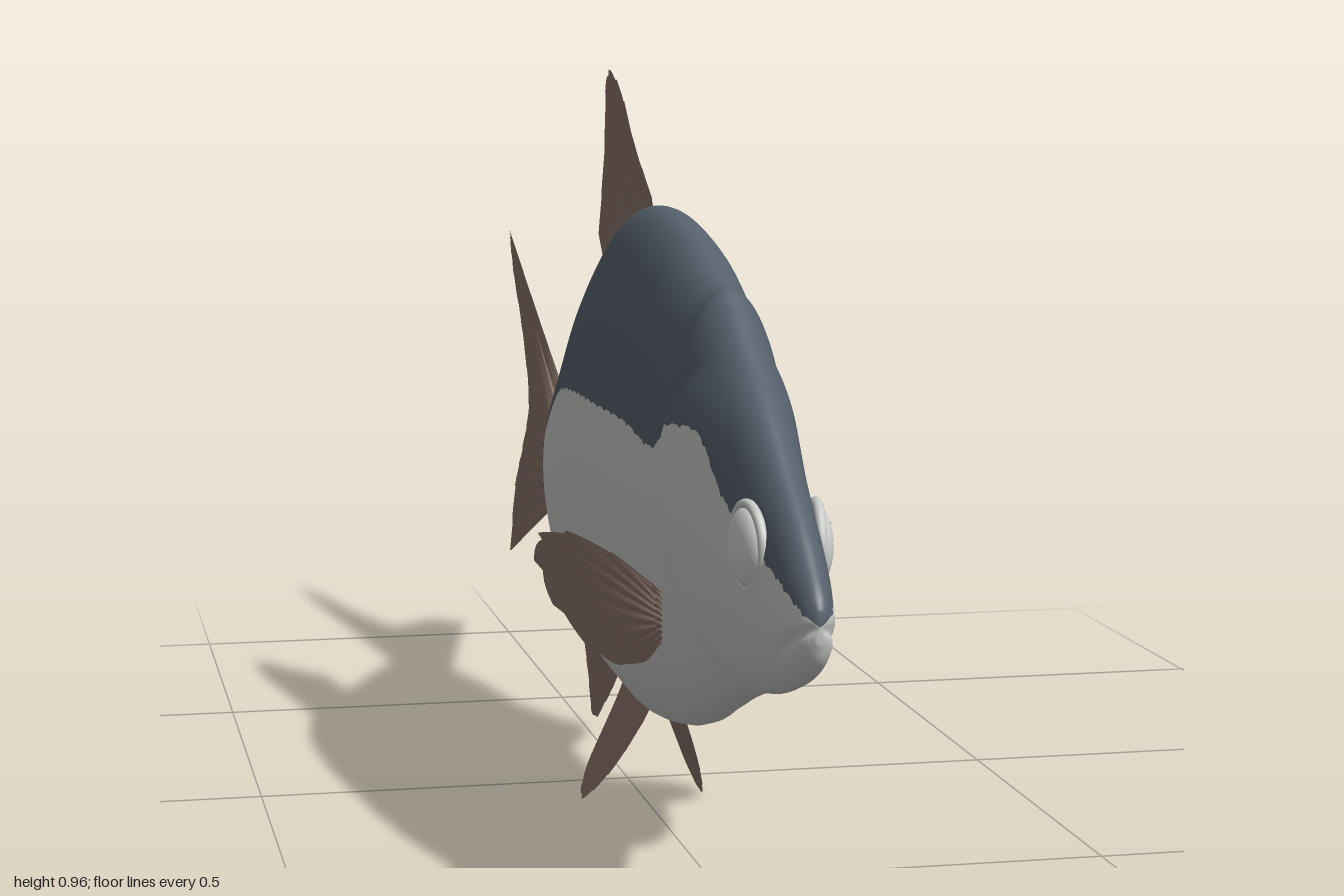
import * as THREE from 'three';

const mat = (name, color, side = THREE.FrontSide) => {
  const m = new THREE.MeshStandardMaterial({ color, side });
  m.name = name;
  return m;
};

// Body stations: z, top y, bottom y, half width, height of the colour line
const STATIONS = [
  [-0.505, 0.455, 0.315, 0.023, 0.396],
  [-0.45, 0.482, 0.265, 0.036, 0.415],
  [-0.39, 0.515, 0.23, 0.047, 0.43],
  [-0.23, 0.607, 0.172, 0.068, 0.488],
  [-0.07, 0.703, 0.15, 0.084, 0.53],
  [0.11, 0.782, 0.143, 0.094, 0.548],
  [0.25, 0.798, 0.145, 0.097, 0.552],
  [0.41, 0.775, 0.17, 0.09, 0.55],
  [0.52, 0.738, 0.2, 0.08, 0.535],
  [0.56, 0.727, 0.216, 0.076, 0.56],
  [0.585, 0.726, 0.226, 0.073, 0.57],
  [0.61, 0.71, 0.235, 0.07, 0.574],
  [0.68, 0.664, 0.262, 0.062, 0.572],
  [0.76, 0.615, 0.288, 0.052, 0.515],
  [0.84, 0.56, 0.306, 0.043, 0.48],
  [0.92, 0.505, 0.332, 0.033, 0.455],
  [0.965, 0.468, 0.352, 0.025, 0.436],
  [0.99, 0.445, 0.372, 0.017, 0.424],
  [1.0, 0.428, 0.395, 0.007, 0.416],
];

// Smooth lookup of one column of the stations
function station(z, col) {
  const S = STATIONS, last = S.length - 1;
  let i = 0;
  while (i < last - 1 && z > S[i + 1][0]) i++;
  const slope = (k) => {
    const a = S[Math.max(k - 1, 0)], b = S[Math.min(k + 1, last)];
    return (b[col] - a[col]) / (b[0] - a[0]);
  };
  const d = S[i + 1][0] - S[i][0], t = (z - S[i][0]) / d, t2 = t * t, t3 = t2 * t;
  return (2 * t3 - 3 * t2 + 1) * S[i][col] + (t3 - 2 * t2 + t) * d * slope(i)
    + (3 * t2 - 2 * t3) * S[i + 1][col] + (t3 - t2) * d * slope(i + 1);
}

// Raised gill cover, groove behind it, and the mouth line
function relief(z, y) {
  const { smoothstep } = THREE.MathUtils;
  const edge = 0.553 + 4 * (y - 0.5) ** 2;
  const fade = smoothstep(y, 0.27, 0.33) * (1 - smoothstep(y, 0.58, 0.66));
  const cover = 0.008 * smoothstep(z, edge - 0.006, edge + 0.008) * (1 - smoothstep(z, 0.6, 0.82));
  const groove = -0.003 * Math.exp(-(((z - edge + 0.012) / 0.01) ** 2));
  const lip = 0.41 - (1 - z) * 0.5;
  const mouth = -0.005 * smoothstep(z, 0.915, 0.94) * Math.exp(-(((y - lip) / 0.006) ** 2));
  return (cover + groove) * fade + mouth;
}

function bodyGeometry(rings = 190, half = 36) {
  const pos = [], upper = [], lower = [], n = half * 2;
  for (let i = 0; i <= rings; i++) {
    const z = -0.505 + 1.505 * (1 - (1 - i / rings) ** 1.25);
    const [top, bottom, w, line] = [1, 2, 3, 4].map((c) => station(z, c));
    const cy = (top + bottom) / 2, h = (top - bottom) / 2;
    const ragged = 0.003 * Math.sin(i * 2.1) * Math.sin(i * 0.7);
    const a0 = Math.asin(THREE.MathUtils.clamp((line + ragged - cy) / h, -0.95, 0.95));
    for (let j = 0; j < n; j++) {
      const a = j < half
        ? a0 + (Math.PI - 2 * a0) * (j / half)
        : Math.PI - a0 + (Math.PI + 2 * a0) * (j / half - 1);
      const y = cy + h * Math.sin(a), c = Math.cos(a);
      pos.push(c * w + Math.sign(c) * Math.min(1, Math.abs(c) * 3) * relief(z, y), y, z);
    }
  }
  for (let i = 0; i < rings; i++) {
    for (let j = 0; j < n; j++) {
      const a = i * n + j, b = i * n + (j + 1) % n;
      (j < half ? upper : lower).push(a, b, a + n, b, b + n, a + n);
    }
  }
  // End caps at the tail root and the snout
  const back = pos.length / 3, front = back + 1, o = rings * n;
  pos.push(0, 0.39, -0.507, 0, 0.412, 1);
  for (let j = 0; j < n; j++) {
    const k = (j + 1) % n;
    (j < half ? upper : lower).push(back, k, j, front, o + j, o + k);
  }
  const g = new THREE.BufferGeometry();
  g.setAttribute('position', new THREE.Float32BufferAttribute(pos, 3));
  g.setIndex([...upper, ...lower]);
  g.addGroup(0, upper.length, 0);
  g.addGroup(upper.length, lower.length, 1);
  g.computeVertexNormals();
  return g;
}

// Thin two-sided fin between a base line and a free edge, points given as [x, y, z].
// Rays are ridges that fade towards the ragged edge.
function finGeometry(base, edge, { rays = 9, ragged = 0.035, thick = 0.004 } = {}) {
  const v = (p) => new THREE.Vector3(...p);
  const [b0, b1] = base.map(v), rim = new THREE.CatmullRomCurve3(edge.map(v));
  const nu = rays * 6, nt = 8, pos = [], idx = [];
  for (const side of [1, -1]) {
    const start = pos.length / 3;
    for (let i = 0; i <= nu; i++) {
      const u = i / nu, root = b0.clone().lerp(b1, u);
      const notch = i === 0 || i === nu ? 0 : ragged * ((i * 5) % 6) / 6;
      const tip = rim.getPoint(u).lerp(root, notch);
      for (let k = 0; k <= nt; k++) {
        const t = k / nt, p = root.clone().lerp(tip, t);
        const ridge = 0.65 + 0.35 * Math.cos(u * rays * Math.PI * 2) * (1 - t);
        p.x += side * (thick * (1 - t) * ridge + 0.0008);
        pos.push(p.x, p.y, p.z);
      }
    }
    for (let i = 0; i < nu; i++) {
      for (let k = 0; k < nt; k++) {
        const a = start + i * (nt + 1) + k, b = a + nt + 1;
        if (side > 0) idx.push(a, a + 1, b, b, a + 1, b + 1);
        else idx.push(a, b, a + 1, b, b + 1, a + 1);
      }
    }
  }
  const g = new THREE.BufferGeometry();
  g.setAttribute('position', new THREE.Float32BufferAttribute(pos, 3));
  g.setIndex(idx);
  g.computeVertexNormals();
  return g;
}

export function createModel() {
  const group = new THREE.Group();
  group.name = 'fish';
  const backMat = mat('slateBack', 0x56616c);
  const bellyMat = mat('silverBelly', 0xc8cbc8);
  const finMat = mat('brownFin', 0x8b746a, THREE.DoubleSide);
  const eyeMat = mat('paleEye', 0xd2d4d2);
  const add = (name, geo, m) => {
    const mesh = new THREE.Mesh(geo, m);
    mesh.name = name;
    group.add(mesh);
    return mesh;
  };

  add('body', bodyGeometry(), [backMat, bellyMat]);

  // Middle fins
  add('dorsalFin', finGeometry(
    [[0, 0.77, 0.16], [0, 0.66, -0.11]],
    [[0, 0.805, 0.15], [0.003, 0.865, 0.03], [0.008, 0.94, -0.1], [0.01, 0.955, -0.19],
      [0.008, 0.85, -0.2], [0.003, 0.73, -0.215]]), finMat);
  add('tailFin', finGeometry(
    [[0, 0.455, -0.5], [0, 0.315, -0.5]],
    [[0.005, 0.675, -1], [0.006, 0.61, -0.965], [0.005, 0.53, -0.88], [0.004, 0.415, -0.81],
      [0.004, 0.335, -0.87], [0.004, 0.26, -0.945], [0.003, 0.14, -0.995]],
    { rays: 12, ragged: 0.02, thick: 0.009 }), finMat);
  add('analFin', finGeometry(
    [[0, 0.165, -0.04], [0, 0.25, -0.37]],
    [[0, 0.135, -0.06], [0.003, 0.075, -0.16], [0.008, 0.02, -0.295], [0.006, 0.075, -0.315],
      [0.004, 0.13, -0.34], [0.002, 0.19, -0.375]]), finMat);

  for (const s of [1, -1]) {
    const side = s > 0 ? 'left' : 'right';
    // Paired fins
    const pelvicX = (y) => s * (0.022 + (0.15 - y) * 0.4);
    const pelvic = (y, z) => [pelvicX(y), y, z];
    add(side + 'PelvicFin', finGeometry(
      [pelvic(0.165, 0.235), pelvic(0.165, 0.085)],
      [pelvic(0.135, 0.235), pelvic(0.075, 0.195), pelvic(0.025, 0.14), pelvic(0, 0.09),
        pelvic(0.025, 0.062), pelvic(0.13, 0.075)], { rays: 7 }), finMat);
    const pectoral = (y, z) => [s * (0.075 + (0.55 - z) * 0.585), y, z];
    add(side + 'PectoralFin', finGeometry(
      [pectoral(0.365, 0.55), pectoral(0.305, 0.55)],
      [pectoral(0.375, 0.54), pectoral(0.405, 0.47), pectoral(0.418, 0.39), pectoral(0.4, 0.353),
        pectoral(0.35, 0.365), pectoral(0.295, 0.42), pectoral(0.268, 0.48),
        pectoral(0.28, 0.53), pectoral(0.3, 0.548)], { ragged: 0.07 }), finMat);

    // Eye and its rim
    const eye = add(side + 'Eye', new THREE.SphereGeometry(0.044, 32, 20), eyeMat);
    eye.scale.x = 0.42;
    const rim = add(side + 'EyeRim', new THREE.TorusGeometry(0.047, 0.006, 10, 36), bellyMat);
    for (const m of [eye, rim]) m.position.set(s * 0.038, 0.47, 0.838);
    eye.rotation.y = -s * 0.12;
    rim.rotation.y = s * (Math.PI / 2 - 0.12);
  }
  return group;
}
